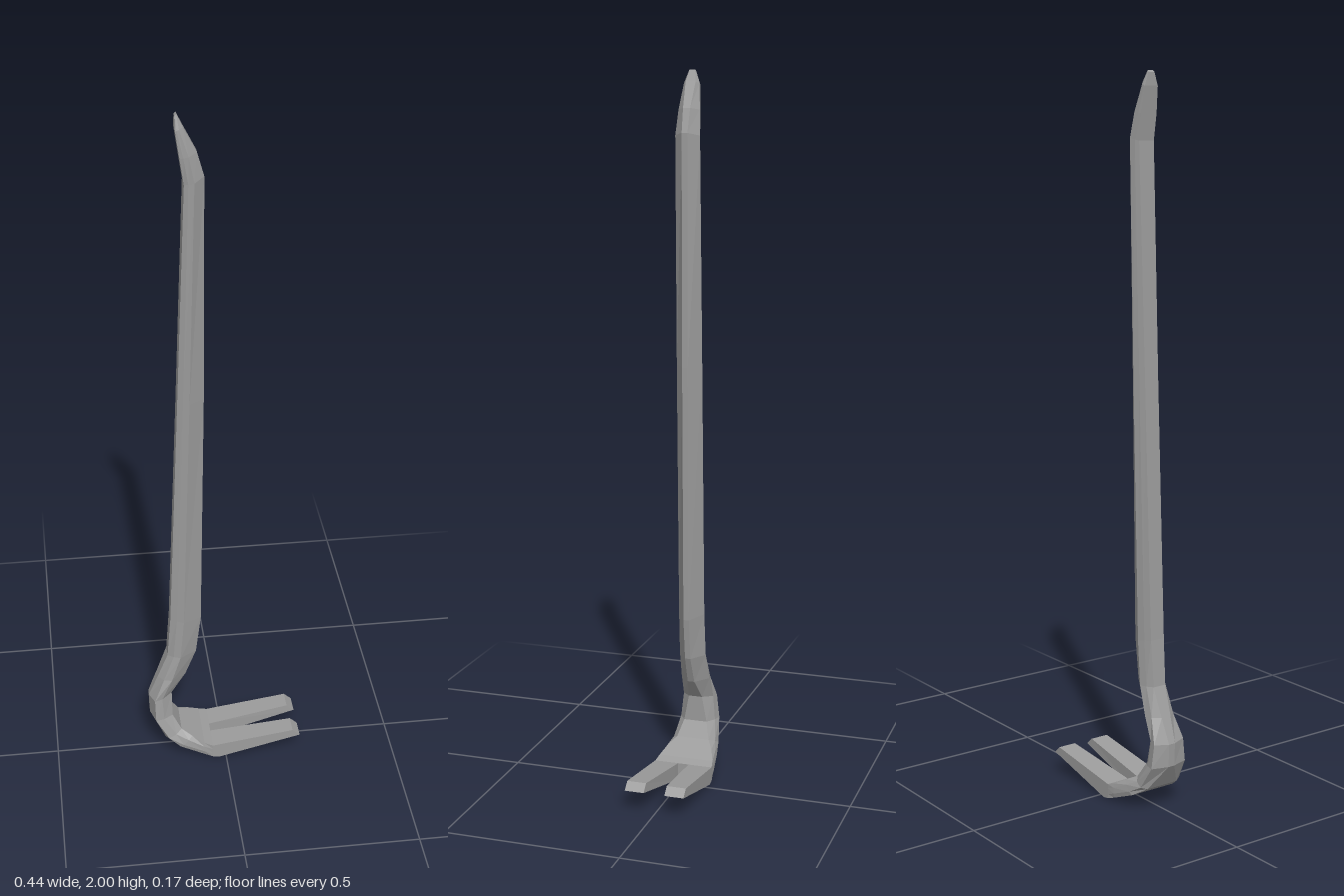
import * as THREE from 'three';

const material = new THREE.MeshStandardMaterial({ color: 0x9c9c9c, flatShading: true });

// Skins a row of equal-sized rings and closes both ends.
function loft(name, rings) {
  const n = rings[0].length, index = [];
  for (let r = 0; r < rings.length - 1; r++) {
    for (let i = 0; i < n; i++) {
      const a = r * n + i, b = r * n + (i + 1) % n;
      index.push(a, b, b + n, a, b + n, a + n);
    }
  }
  const last = (rings.length - 1) * n;
  for (let i = 1; i < n - 1; i++) {
    index.push(0, i + 1, i);
    index.push(last, last + i, last + i + 1);
  }
  const indexed = new THREE.BufferGeometry();
  indexed.setAttribute('position', new THREE.Float32BufferAttribute(rings.flat(2), 3));
  indexed.setIndex(index);
  const geometry = indexed.toNonIndexed();
  geometry.computeVertexNormals();
  const mesh = new THREE.Mesh(geometry, material);
  mesh.name = name;
  return mesh;
}

// Eight-sided ring: outer edge, two side corners, inner edge, then mirrored in z.
function barRing([ox, oy, ix, iy, outer, t1, side1, t2, side2, inner]) {
  const half = [[0, outer], [t1, side1], [t2, side2], [1, inner]]
    .map(([t, z]) => [ox + (ix - ox) * t, oy + (iy - oy) * t, z]);
  return [...half, ...half.toReversed().map(([x, y, z]) => [x, y, -z])];
}

export function createModel() {
  const group = new THREE.Group();
  group.name = 'pryBar';

  // Bar from the claw root, round the heel and up to the chisel tip:
  // outer x, y, inner x, y, outer half width, then fraction across and
  // half width of both side corners, inner half width
  const sections = [
    [-0.04, 0.003, -0.04, 0.045, 0.085, 0.3, 0.085, 0.7, 0.085, 0.085],
    [-0.065, 0.012, -0.065, 0.054, 0.081, 0.3, 0.084, 0.7, 0.083, 0.08],
    [-0.135, 0.04, -0.1, 0.074, 0.071, 0.25, 0.075, 0.7, 0.074, 0.066],
    [-0.178, 0.067, -0.13, 0.09, 0.05, 0.2, 0.067, 0.65, 0.063, 0.048],
    [-0.22, 0.135, -0.155, 0.135, 0.01, 0.22, 0.058, 0.6, 0.052, 0.034],
    [-0.222, 0.2, -0.155, 0.21, 0.01, 0.22, 0.05, 0.55, 0.045, 0.02],
    [-0.195, 0.27, -0.112, 0.27, 0.015, 0.2, 0.037, 0.48, 0.042, 0.01],
    [-0.165, 0.35, -0.08, 0.35, 0.02, 0.2, 0.032, 0.43, 0.039, 0.008],
    [-0.155, 0.48, -0.065, 0.47, 0.022, 0.2, 0.031, 0.42, 0.038, 0.008],
    [-0.125, 1.2, -0.052, 1.2, 0.022, 0.2, 0.03, 0.43, 0.037, 0.008],
    [-0.1, 1.82, -0.047, 1.835, 0.024, 0.2, 0.03, 0.48, 0.035, 0.008],
    [-0.11, 1.89, -0.065, 1.9, 0.025, 0.2, 0.028, 0.5, 0.03, 0.01],
    [-0.12, 1.96, -0.1, 1.968, 0.021, 0.2, 0.022, 0.5, 0.022, 0.014],
    [-0.12, 1.995, -0.115, 2, 0.01, 0.3, 0.01, 0.7, 0.009, 0.008],
  ];
  group.add(loft('bar', sections.map(barRing)));

  // Claw prongs, from the bevelled end back to the root:
  // bottom x, y, top x, y, half width of the slot
  const prong = [
    [0.222, 0.06, 0.2, 0.08, 0.03],
    [-0.02, 0, -0.02, 0.048, 0.017],
    [-0.04, 0.003, -0.04, 0.045, 0.016],
  ];
  for (const side of [1, -1]) {
    const rings = prong.map(([bx, by, tx, ty, slot]) => {
      const high = side > 0 ? 0.085 : -slot, low = side > 0 ? slot : -0.085;
      return [[bx, by, high], [tx, ty, high], [tx, ty, low], [bx, by, low]];
    });
    group.add(loft(side > 0 ? 'frontProng' : 'backProng', rings));
  }
  return group;
}
